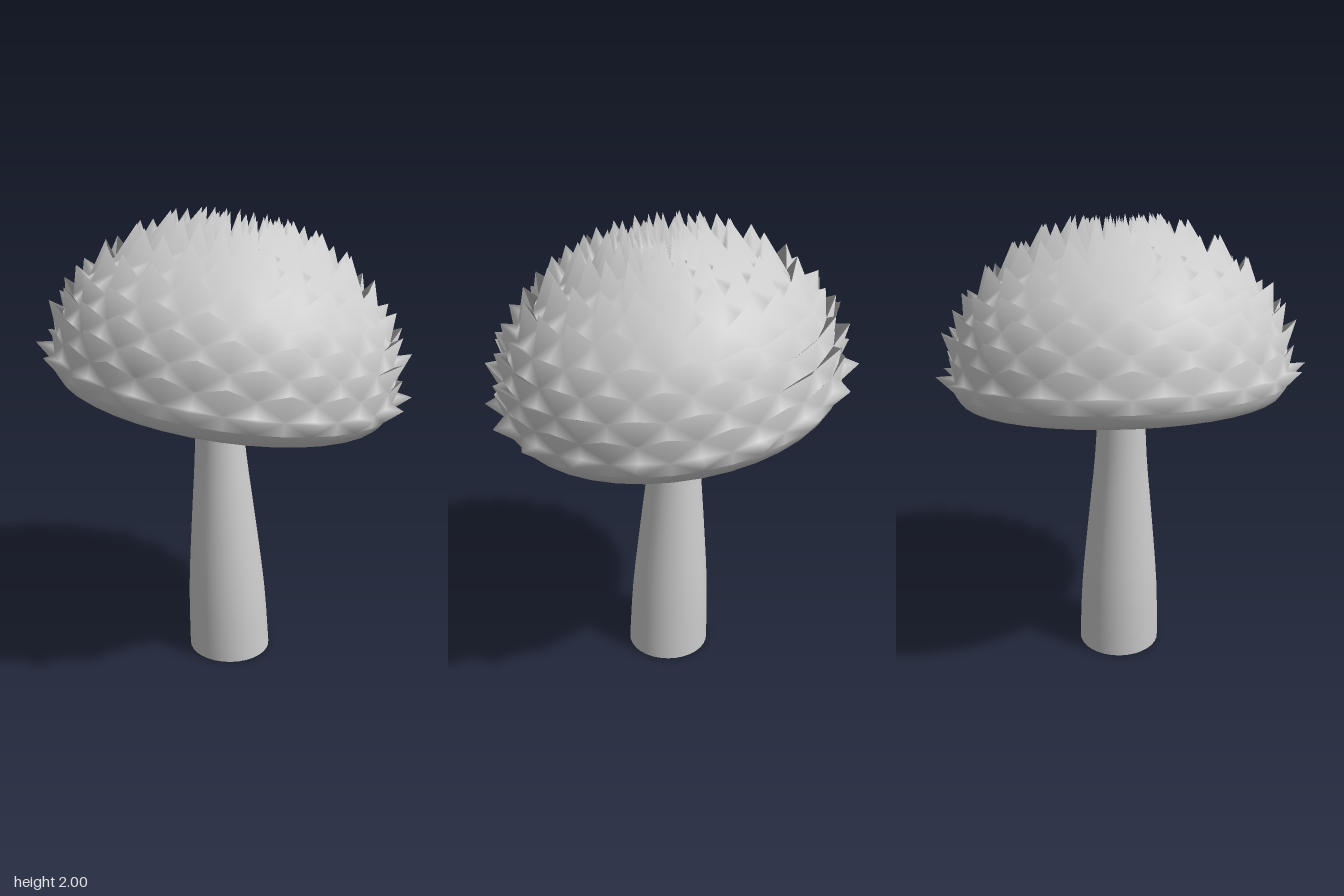
import * as THREE from 'three';
import { toCreasedNormals } from 'three/addons/utils/BufferGeometryUtils.js';

const COLUMNS = 40; // 20 spikes per row, staggered between rows

const material = new THREE.MeshStandardMaterial({ color: 0xcccccc });
const scaleMaterial = new THREE.MeshStandardMaterial({ color: 0xcccccc, side: THREE.DoubleSide });

const curve = (points, n) =>
  new THREE.SplineCurve(points.map(([x, y]) => new THREE.Vector2(x, y))).getPoints(n);

function addMesh(parent, name, geometry, mat) {
  const mesh = new THREE.Mesh(geometry, mat);
  mesh.name = name;
  parent.add(mesh);
}

// Closed skin of rings; every scale row runs from its base ring out to the tips
// and back under them to the next base ring
function scalySkin(bases, tips, crownHeight) {
  const positions = [], index = [];
  const addRing = (pointAt) => {
    for (let j = 0; j < COLUMNS; j++) {
      const a = (j / COLUMNS) * Math.PI * 2;
      const [r, h] = pointAt(j);
      positions.push(r * Math.cos(a), h, -r * Math.sin(a));
    }
  };
  addRing(() => bases[0]);
  tips.forEach((tip, row) => {
    const [r, h] = bases[row + 1];
    addRing((j) => (j % 2 === row % 2 ? tip : [r + 0.003, h - 0.006]));
    addRing(() => [r, h]);
  });
  const rings = tips.length * 2;
  for (let k = 0; k < rings; k++) {
    const tipParity = (k >> 1) % 2;
    for (let j = 0; j < COLUMNS; j++) {
      const n = (j + 1) % COLUMNS;
      const b0 = k * COLUMNS + j, b1 = k * COLUMNS + n;
      const t0 = b0 + COLUMNS, t1 = b1 + COLUMNS;
      // Diagonals mirror about each tip
      if ((j % 2 === tipParity) === (k % 2 === 0)) index.push(b0, b1, t1, b0, t1, t0);
      else index.push(b0, b1, t0, b1, t1, t0);
    }
  }
  // Flat crown inside the last row
  const centre = positions.length / 3;
  positions.push(0, crownHeight, 0);
  for (let j = 0; j < COLUMNS; j++)
    index.push(rings * COLUMNS + j, rings * COLUMNS + ((j + 1) % COLUMNS), centre);

  const g = new THREE.BufferGeometry();
  g.setAttribute('position', new THREE.Float32BufferAttribute(positions, 3));
  g.setIndex(index);
  g.computeVertexNormals();
  return g;
}

function createStalk(parent) {
  // Tapered stalk, leaning slightly as it rises
  const side = curve([[0.185, 0], [0.174, 0.3], [0.143, 0.65], [0.114, 0.95], [0.1, 1.22]], 12);
  const g = new THREE.LatheGeometry([new THREE.Vector2(0, 0), ...side], 32);
  const p = g.attributes.position;
  for (let i = 0; i < p.count; i++) p.setX(i, p.getX(i) + 0.02 - 0.045 * p.getY(i));
  addMesh(parent, 'stalk', toCreasedNormals(g, 0.8), material);
}

function createCap(parent) {
  const cap = new THREE.Group();
  cap.name = 'cap';
  cap.position.set(-0.02, 1.23, 0);
  cap.rotation.z = THREE.MathUtils.degToRad(-8.5);
  cap.scale.z = 0.965;
  parent.add(cap);

  // Underside: shallow boss, groove and rolled rim
  const underside = [
    ...curve([[0, -0.065], [0.2, -0.057], [0.32, -0.038]], 6),
    ...curve([[0.37, 0], [0.42, 0.045], [0.46, 0.08], [0.5, 0.09], [0.54, 0.07]], 10),
    ...curve([[0.555, 0.03], [0.6, 0.003], [0.675, 0], [0.71, 0.03], [0.728, 0.06]], 10),
  ];
  addMesh(cap, 'capUnderside',
    toCreasedNormals(new THREE.LatheGeometry(underside, COLUMNS), 0.7), material);

  // Scale rows from rim to crown, as [radius, height]
  const bases = [
    [0.728, 0.06], [0.728, 0.12], [0.722, 0.19], [0.7, 0.27], [0.665, 0.345], [0.61, 0.42],
    [0.525, 0.495], [0.41, 0.56], [0.285, 0.61], [0.19, 0.635], [0.11, 0.645],
  ];
  const tips = [
    [0.8, 0.13], [0.75, 0.22], [0.762, 0.31], [0.715, 0.39], [0.665, 0.465],
    [0.56, 0.57], [0.44, 0.66], [0.31, 0.725], [0.19, 0.753], [0.12, 0.745],
  ];
  addMesh(cap, 'scalyCapTop', scalySkin(bases, tips, 0.65), scaleMaterial);
}

export function createModel() {
  const model = new THREE.Group();
  model.name = 'scalyMushroom';
  createStalk(model);
  createCap(model);
  return model;
}
